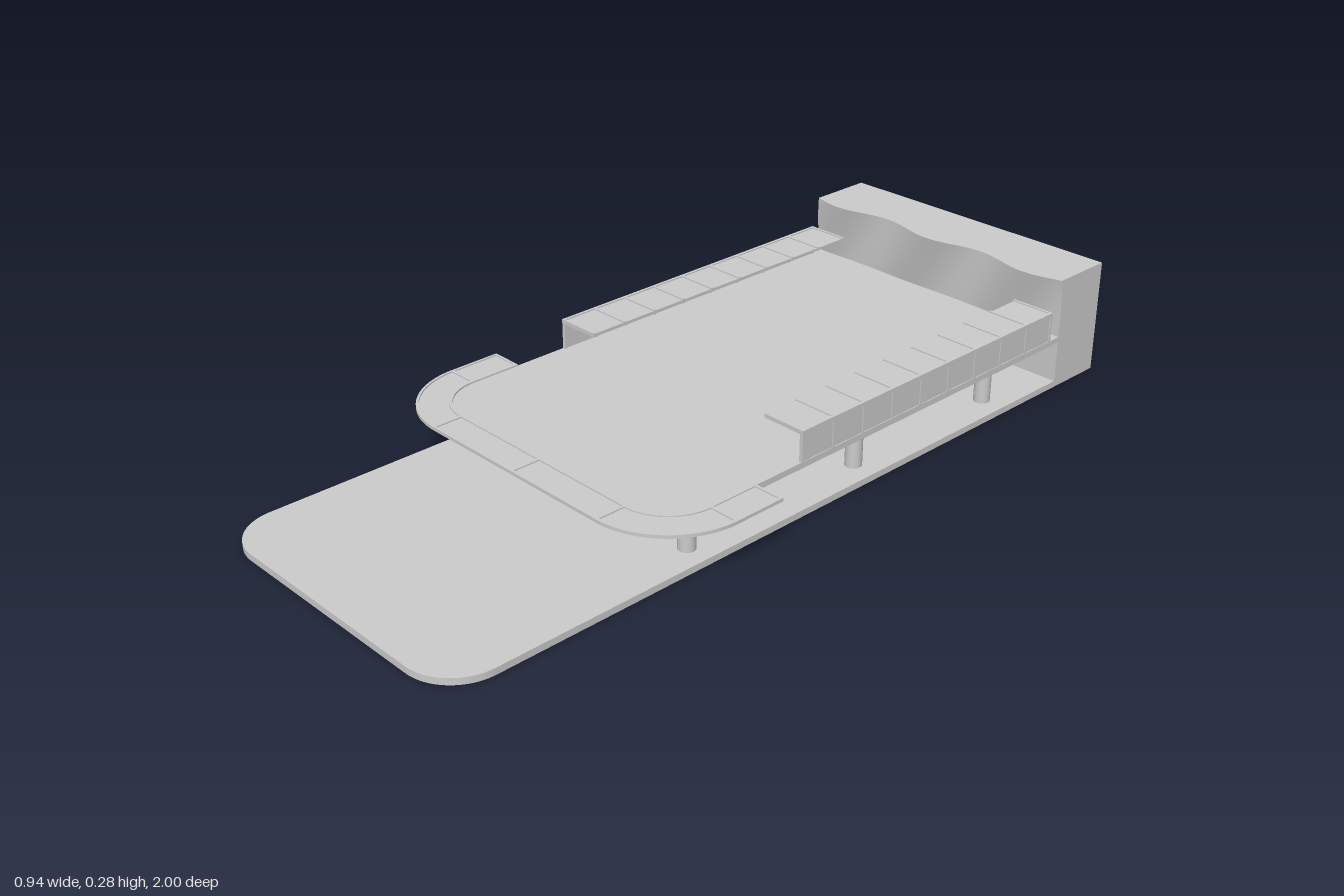
import * as THREE from 'three';

const material = new THREE.MeshStandardMaterial({ color: 0xcccccc, side: THREE.DoubleSide });

function add(parent, name, geometry, x = 0, y = 0, z = 0) {
  const mesh = new THREE.Mesh(geometry, material);
  mesh.name = name;
  mesh.position.set(x, y, z);
  parent.add(mesh);
  return mesh;
}

// Box given by its lower and upper corners
function box(parent, name, x0, x1, y0, y1, z0, z1) {
  return add(parent, name, new THREE.BoxGeometry(x1 - x0, y1 - y0, z1 - z0),
    (x0 + x1) / 2, (y0 + y1) / 2, (z0 + z1) / 2);
}

// Horizontal slab from a plan shape drawn in (x, z), between y0 and y1
function slab(parent, name, shape, y0, y1) {
  const geometry = new THREE.ExtrudeGeometry(shape, { depth: y1 - y0, bevelEnabled: false, curveSegments: 20 });
  geometry.rotateX(Math.PI / 2);
  return add(parent, name, geometry, 0, y1, 0);
}

// Rectangle plan with two rounded front corners
function roundedFront(halfWidth, back, front, r) {
  const s = new THREE.Shape();
  s.moveTo(-halfWidth, back);
  s.lineTo(halfWidth, back);
  s.lineTo(halfWidth, front - r);
  s.absarc(halfWidth - r, front - r, r, 0, Math.PI / 2);
  s.lineTo(-halfWidth + r, front);
  s.absarc(-halfWidth + r, front - r, r, Math.PI / 2, Math.PI);
  s.closePath();
  return s;
}

// U-shaped walkway band around two corner centres
const CX = 0.27, CZ = 0.33, END = 0.2;
function band(rIn, rOut) {
  const s = new THREE.Shape();
  s.moveTo(CX + rOut, END);
  s.lineTo(CX + rOut, CZ);
  s.absarc(CX, CZ, rOut, 0, Math.PI / 2);
  s.absarc(-CX, CZ, rOut, Math.PI / 2, Math.PI);
  s.lineTo(-CX - rOut, END);
  s.lineTo(-CX - rIn, END);
  s.lineTo(-CX - rIn, CZ);
  s.absarc(-CX, CZ, rIn, Math.PI, Math.PI / 2, true);
  s.absarc(CX, CZ, rIn, Math.PI / 2, 0, true);
  s.lineTo(CX + rIn, END);
  s.closePath();
  return s;
}

// Back block whose upper front face leans forward in shifting waves
function waveBlock() {
  const height = 0.285, depth = 0.155;
  const geometry = new THREE.BoxGeometry(0.78, height, depth, 80, 20, 1);
  geometry.translate(0, height / 2, -1 + depth / 2);
  const p = geometry.attributes.position;
  for (let i = 0; i < p.count; i++) {
    if (p.getZ(i) < -0.9) continue;
    const t = Math.max(0, (p.getY(i) - 0.12) / (height - 0.12));
    const wave = Math.cos((p.getX(i) + 0.01) * Math.PI * 2 / 0.3 + (1 - t) * 1.8);
    p.setZ(i, -1 + depth + t * (0.016 + 0.014 * wave));
  }
  geometry.computeVertexNormals();
  return geometry;
}

function canopy(side) {
  const g = new THREE.Group();
  g.name = side > 0 ? 'leftCanopy' : 'rightCanopy';
  const z0 = -0.81, z1 = 0.06, bays = 9;
  const part = (name, a, b, y0, y1, za, zb) =>
    box(g, name, Math.min(side * a, side * b), Math.max(side * a, side * b), y0, y1, za, zb);
  part('canopyRoof', 0.28, 0.39, 0.201, 0.207, z0, z1);
  part('canopyWall', 0.385, 0.388, 0.135, 0.201, z0, z1);
  part('canopyOuterTrim', 0.384, 0.391, 0.2, 0.21, z0, z1);
  for (let i = 0; i <= bays; i++) {
    const z = z0 + 0.003 + (z1 - z0 - 0.006) * i / bays;
    part('canopyRib', 0.278, 0.391, 0.2, 0.21, z - 0.003, z + 0.003);
    part('canopyPost', 0.382, 0.391, 0.135, 0.2, z - 0.003, z + 0.003);
  }
  return g;
}

export function createModel() {
  const model = new THREE.Group();
  model.name = 'pavilion';

  // Ground slab, raised deck and wavy back block
  slab(model, 'baseSlab', roundedFront(0.39, -1, 1, 0.12), 0, 0.016);
  slab(model, 'deck', roundedFront(0.39, -0.85, 0.45, 0.12), 0.12, 0.135);
  add(model, 'waveBlock', waveBlock());

  // Walkway around the front of the deck
  const walkway = new THREE.Group();
  walkway.name = 'walkway';
  model.add(walkway);
  slab(walkway, 'walkwayFloor', band(0.12, 0.2), 0.132, 0.136);
  slab(walkway, 'walkwayInnerRim', band(0.118, 0.126), 0.131, 0.139);
  slab(walkway, 'walkwayOuterRim', band(0.194, 0.2), 0.131, 0.139);
  for (const x of [-CX, 0, CX]) box(walkway, 'walkwayJoint', x - 0.003, x + 0.003, 0.131, 0.139, 0.45, 0.53);
  for (const s of [-1, 1]) {
    for (const z of [END + 0.003, CZ]) {
      const x = s * (CX + 0.16);
      box(walkway, 'walkwayJoint', x - 0.04, x + 0.04, 0.131, 0.139, z - 0.003, z + 0.003);
    }
  }

  // Canopies and columns on both sides
  for (const s of [-1, 1]) {
    model.add(canopy(s));
    for (const z of [0.337, -0.176, -0.636]) {
      add(model, 'column', new THREE.CylinderGeometry(0.02, 0.02, 0.106, 24), s * 0.33, 0.068, z);
    }
  }
  return model;
}
